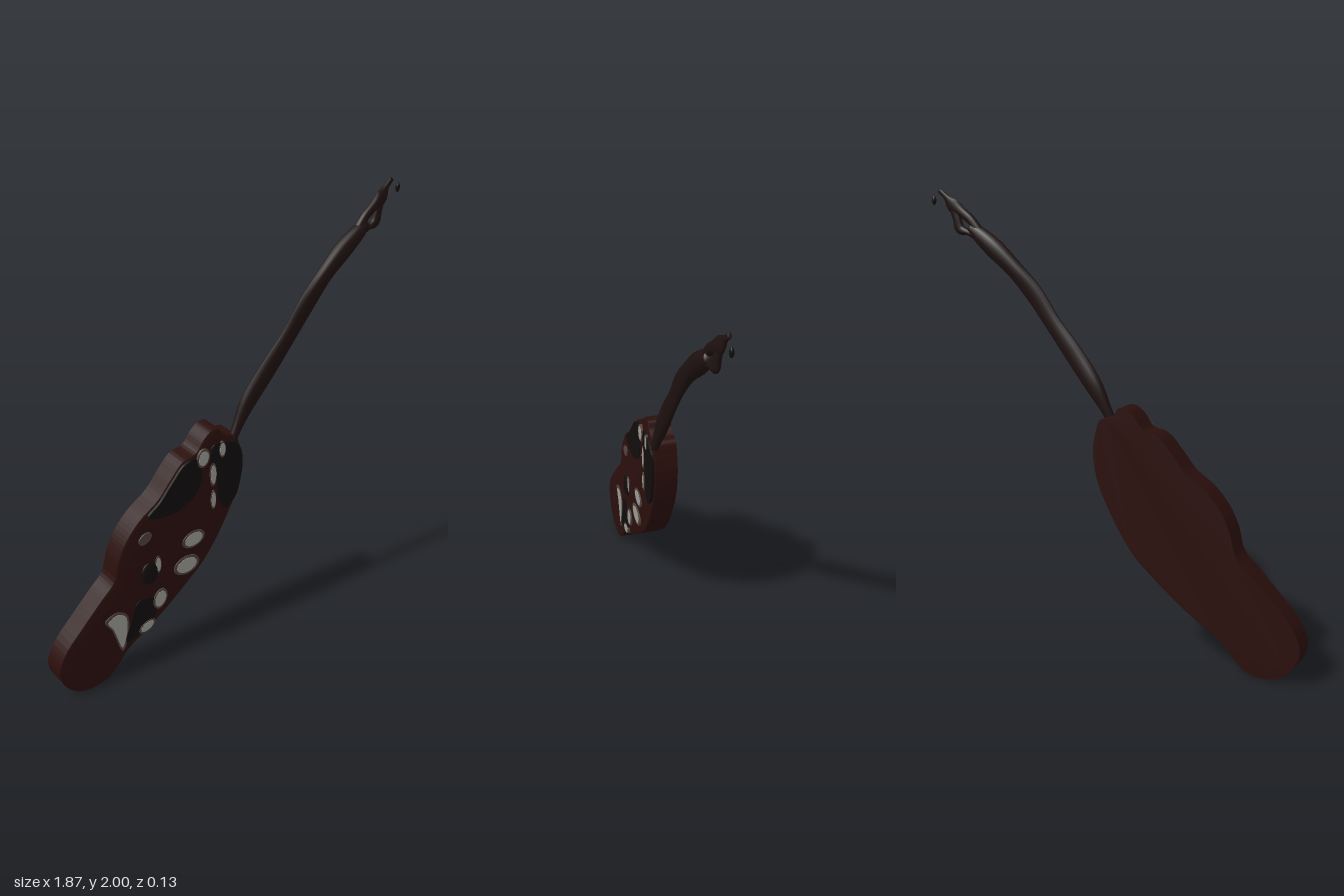
import * as THREE from 'three';

const mat = (color) => new THREE.MeshStandardMaterial({ color });
const BROWN = mat(0x2a0f0c), DARK = mat(0x110d0c), STRAP = mat(0x1d1110);
const HALO = mat(0x51433f), PALE = mat(0x9b9b94);
const BACK = -0.065, RIM = 0.036;

// Closed smooth outline through a few [x, y] points
function outline(points, n) {
  const curve = new THREE.CatmullRomCurve3(points.map(([x, y]) => new THREE.Vector3(x, y, 0)), true);
  return curve.getPoints(n).slice(0, n).map((p) => new THREE.Vector2(p.x, p.y));
}

// Stitch equal-length rings of [x, y, z] into a smooth skin
function skin(rings) {
  const n = rings[0].length, index = [];
  for (let r = 0; r < rings.length - 1; r++) {
    for (let i = 0; i < n; i++) {
      const a = r * n + i, b = r * n + (i + 1) % n;
      index.push(a, b, a + n, b, b + n, a + n);
    }
  }
  const geo = new THREE.BufferGeometry();
  geo.setAttribute('position', new THREE.Float32BufferAttribute(rings.flat(2), 3));
  geo.setIndex(index);
  geo.computeVertexNormals();
  return geo;
}

// Lumpy cord in the xy plane; stations are [x, y, z, halfWidth, halfDepth]
function cord(stations, steps) {
  const path = new THREE.CatmullRomCurve3(stations.map(([x, y, z]) => new THREE.Vector3(x, y, z)));
  const size = new THREE.CatmullRomCurve3(stations.map(([, , , w, d], i) => new THREE.Vector3(w, d, i)));
  const rings = [];
  for (let k = 0; k <= steps; k++) {
    const t = k / steps, p = path.getPoint(t), s = size.getPoint(t), tan = path.getTangent(t);
    const len = Math.hypot(tan.x, tan.y), nx = -tan.y / len, ny = tan.x / len;
    const ring = (f) => Array.from({ length: 14 }, (_, i) => {
      const a = (i / 14) * Math.PI * 2, u = Math.cos(a) * s.x * f;
      return [p.x + nx * u, p.y + ny * u, p.z + Math.sin(a) * s.y * f];
    });
    if (k === 0) rings.push(ring(0.001));
    rings.push(ring(1));
    if (k === steps) rings.push(ring(0.001));
  }
  return skin(rings);
}

export function createModel() {
  const model = new THREE.Group();
  const add = (name, geo, material) => {
    const mesh = new THREE.Mesh(geo, material);
    mesh.name = name;
    model.add(mesh);
    return mesh;
  };

  // Flat-backed slab with a waisted outline
  const edge = outline([
    [-0.77, 0.003], [-0.70, 0.015], [-0.65, 0.055], [-0.58, 0.13], [-0.45, 0.21], [-0.35, 0.28],
    [-0.25, 0.36], [-0.17, 0.43], [-0.10, 0.52], [-0.04, 0.62], [0.01, 0.72], [0.035, 0.80],
    [0.045, 0.90], [0.03, 0.98], [0.01, 1.03], [-0.03, 1.04], [-0.06, 1.06], [-0.08, 1.09],
    [-0.12, 1.09], [-0.16, 1.06], [-0.20, 1.01], [-0.27, 0.99], [-0.33, 0.93], [-0.40, 0.85],
    [-0.50, 0.78], [-0.57, 0.70], [-0.61, 0.62], [-0.64, 0.52], [-0.70, 0.46], [-0.80, 0.36],
    [-0.90, 0.25], [-0.935, 0.16], [-0.91, 0.08], [-0.85, 0.02],
  ], 170);
  const slab = new THREE.ExtrudeGeometry(new THREE.Shape(edge), { depth: RIM - BACK, bevelEnabled: false });
  add('slab', slab.translate(0, 0, BACK), BROWN);

  // Softly rounded front, shrinking the outline toward a diagonal spine
  const spine = new THREE.Line3(new THREE.Vector3(-0.76, 0.17, 0), new THREE.Vector3(-0.11, 0.86, 0));
  const feet = edge.map((p) => spine.closestPointToPoint(new THREE.Vector3(p.x, p.y, 0), true, new THREE.Vector3()));
  const front = [1, 0.98, 0.94, 0.85, 0.65, 0.4, 0].map((s) => edge.map((p, i) => [
    feet[i].x + (p.x - feet[i].x) * s,
    feet[i].y + (p.y - feet[i].y) * s,
    RIM + 0.013 * Math.sqrt(1 - s * s) * Math.min(1, 0.5 + feet[i].y),
  ]));
  add('frontFace', skin(front), BROWN);

  // Patches laid on the front
  const patch = (name, shape, top, material) => add(
    name,
    new THREE.ExtrudeGeometry(shape, { depth: top - 0.03, bevelEnabled: false, curveSegments: 20 }).translate(0, 0, 0.03),
    material,
  );
  const blot = (points) => new THREE.Shape(outline(points, 60));
  patch('darkUpperPatch', blot([
    [-0.46, 0.79], [-0.36, 0.76], [-0.27, 0.78], [-0.20, 0.83], [-0.18, 0.92], [-0.21, 0.99],
    [-0.27, 0.98], [-0.33, 0.92], [-0.40, 0.84],
  ]), 0.051, DARK);
  patch('darkSidePatch', blot([
    [-0.05, 0.68], [0.00, 0.72], [0.03, 0.81], [0.04, 0.90], [0.02, 0.98], [-0.05, 1.02],
    [-0.12, 1.02], [-0.13, 0.94], [-0.10, 0.84], [-0.09, 0.74],
  ]), 0.051, DARK);
  patch('darkLowerPatch', blot([
    [-0.60, 0.18], [-0.52, 0.20], [-0.44, 0.27], [-0.45, 0.36], [-0.53, 0.37], [-0.57, 0.28],
  ]), 0.0495, DARK);

  // Pale spots with a dim halo: x, y, radiusX, radiusY, turn
  const spots = [
    [-0.23, 0.585, 0.06, 0.042, 0.1], [-0.27, 0.46, 0.068, 0.048, 0], [-0.415, 0.34, 0.036, 0.052, -0.3],
    [-0.49, 0.22, 0.046, 0.026, 0.4], [-0.17, 0.98, 0.032, 0.045, -0.2], [-0.07, 0.99, 0.018, 0.04, 0],
    [-0.12, 0.88, 0.018, 0.06, 0], [-0.12, 0.75, 0.014, 0.05, 0], [-0.42, 0.53, 0.016, 0.045, 0],
  ];
  const ellipse = (x, y, a, b, turn) => new THREE.Shape(
    new THREE.EllipseCurve(x, y, a, b, 0, Math.PI * 2, false, turn).getPoints(32).slice(0, 32),
  );
  spots.forEach(([x, y, a, b, turn]) => {
    patch('spotHalo', ellipse(x, y, a, b, turn), 0.052, HALO);
    patch('paleSpot', ellipse(x, y, a * 0.78, b * 0.78, turn), 0.0535, PALE);
  });
  patch('spotHalo', ellipse(-0.48, 0.69, 0.035, 0.025, 0.5), 0.051, HALO);
  const crescent = [[-0.70, 0.34], [-0.64, 0.365], [-0.59, 0.33], [-0.585, 0.24], [-0.62, 0.14], [-0.65, 0.22], [-0.67, 0.28]];
  patch('crescentHalo', blot(crescent), 0.049, HALO);
  patch('paleCrescent', blot(crescent.map(([x, y]) => [-0.63 + (x + 0.63) * 0.8, 0.28 + (y - 0.28) * 0.84])), 0.0505, PALE);

  // Raised dark lump in the middle
  const lump = add('darkLump', new THREE.SphereGeometry(1, 20, 12), DARK);
  lump.scale.set(0.045, 0.06, 0.018);
  lump.position.set(-0.465, 0.5, 0.045);

  // Thin cord rising from the top corner
  add('cord', cord([
    [-0.01, 0.98, 0.03, 0.02, 0.015], [0.03, 1.06, 0.025, 0.026, 0.02], [0.09, 1.16, 0.022, 0.043, 0.024],
    [0.19, 1.285, 0.027, 0.047, 0.021], [0.30, 1.415, 0.03, 0.042, 0.018], [0.40, 1.545, 0.03, 0.046, 0.02],
    [0.50, 1.65, 0.024, 0.041, 0.027], [0.60, 1.735, 0.02, 0.046, 0.032], [0.68, 1.795, 0.02, 0.038, 0.03],
    [0.73, 1.83, 0.018, 0.022, 0.02],
  ], 60), STRAP);

  // Two strands around a small opening, then a fine tip
  add('upperStrand', cord([
    [0.68, 1.805, 0.018, 0.025, 0.02], [0.725, 1.86, 0.016, 0.022, 0.018], [0.775, 1.895, 0.014, 0.025, 0.017],
    [0.82, 1.925, 0.01, 0.034, 0.015], [0.85, 1.96, 0.004, 0.015, 0.01], [0.885, 1.99, 0, 0.012, 0.007],
  ], 30), STRAP);
  add('lowerStrand', cord([
    [0.69, 1.79, 0.018, 0.025, 0.02], [0.74, 1.805, 0.016, 0.014, 0.016], [0.785, 1.82, 0.014, 0.025, 0.016],
    [0.80, 1.865, 0.012, 0.022, 0.014], [0.82, 1.92, 0.01, 0.02, 0.012],
  ], 24), STRAP);

  // Loose fleck beside the tip
  const fleck = add('looseFleck', new THREE.SphereGeometry(1, 12, 8), DARK);
  fleck.scale.set(0.011, 0.021, 0.009);
  fleck.position.set(0.92, 1.945, 0.003);

  return model;
}
